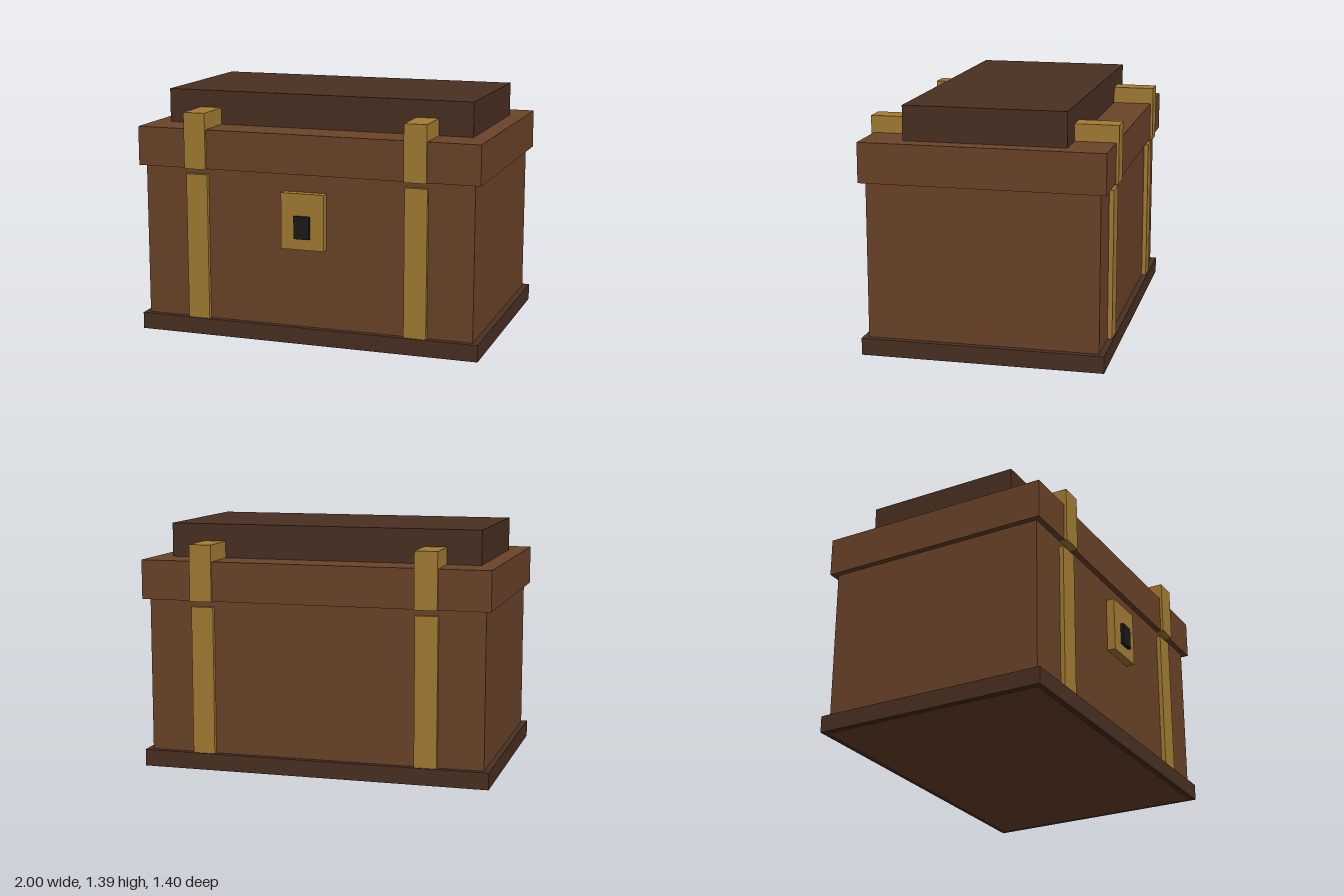
import * as THREE from 'three';

const material = (color) => new THREE.MeshStandardMaterial({ color, flatShading: true });

export function createModel() {
  const chest = new THREE.Group();
  chest.name = 'chest';

  const wood = material(0x6b4429);
  const darkWood = material(0x4a3022);
  const brass = material(0xa57d33);
  const black = material(0x1a1a1a);

  // Box from its ranges: centre x, width, bottom and top, back and front
  function box(name, mat, x, width, y0, y1, z0, z1) {
    const mesh = new THREE.Mesh(new THREE.BoxGeometry(width, y1 - y0, z1 - z0), mat);
    mesh.position.set(x, (y0 + y1) / 2, (z0 + z1) / 2);
    mesh.name = name;
    chest.add(mesh);
  }

  // Wooden chest; the body's floor shows inside the base rim
  box('base', darkWood, 0, 2, 0.002, 0.097, -0.685, 0.668);
  box('body', wood, -0.002, 1.932, 0, 0.972, -0.651, 0.636);
  box('lid', wood, 0, 2, 0.972, 1.195, -0.685, 0.668);
  box('lidTop', darkWood, -0.001, 1.804, 1.195, 1.388, -0.458, 0.443);

  // Brass straps: short strips on the body, one band across the lid
  for (const side of [-1, 1]) {
    const x = side * 0.644 - 0.002;
    const label = side > 0 ? 'left' : 'right';
    box(label + 'FrontStrap', brass, x, 0.128, 0.097, 0.937, 0.634, 0.661);
    box(label + 'BackStrap', brass, x, 0.128, 0.097, 0.937, -0.677, -0.649);
    box(label + 'LidStrap', brass, x, 0.128, 0.97, 1.29, -0.7, 0.684);
  }

  // Lock on the front
  box('lockPlate', brass, -0.002, 0.252, 0.552, 0.87, 0.634, 0.684);
  box('keyhole', black, -0.002, 0.092, 0.616, 0.744, 0.67, 0.702);

  return chest;
}
